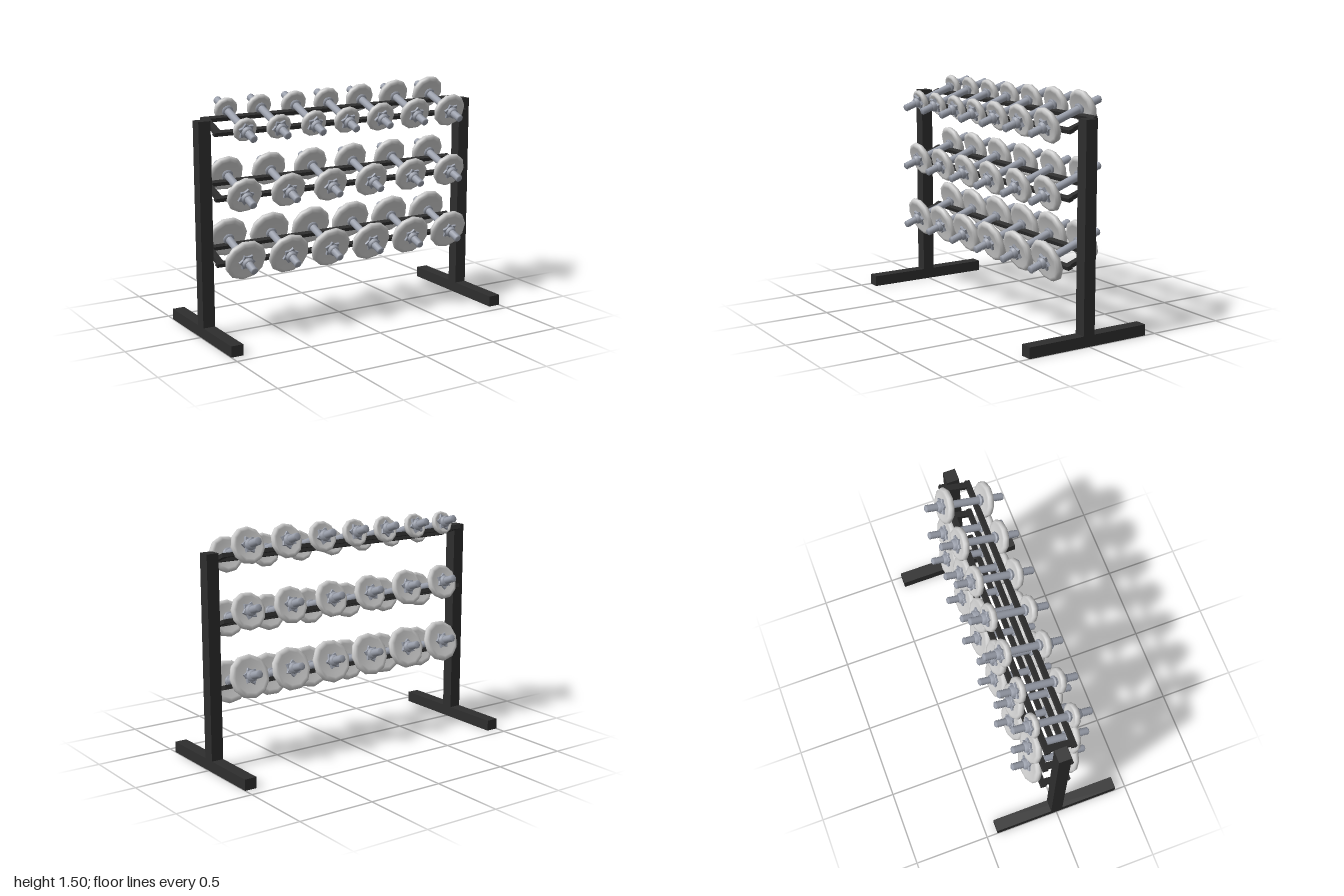
import * as THREE from 'three';

const frameMat = new THREE.MeshStandardMaterial({ color: 0x2e2e2e });
const steelMat = new THREE.MeshStandardMaterial({ color: 0x9a9fab });
const plateMat = new THREE.MeshStandardMaterial({ color: 0xcccccc });
const TILT = THREE.MathUtils.degToRad(19.6);

function add(parent, name, geo, mat, x = 0, y = 0, z = 0) {
  const mesh = new THREE.Mesh(geo, mat);
  mesh.name = name;
  mesh.position.set(x, y, z);
  parent.add(mesh);
  return mesh;
}

// Turned solid along z from [radius, z] pairs
function turned(pairs, sides) {
  const pts = pairs.map(([r, z]) => new THREE.Vector2(r, z));
  return new THREE.LatheGeometry(pts, sides).rotateX(Math.PI / 2);
}

// Weight plate: rounded rim, dished faces
function plateGeometry(r) {
  const h = 0.013 + r * 0.075;
  return turned([
    [0.02, -h * 0.55], [r * 0.6, -h * 0.6], [r * 0.78, -h], [r * 0.93, -h * 0.85],
    [r, -h * 0.3], [r, h * 0.3], [r * 0.93, h * 0.85], [r * 0.78, h],
    [r * 0.6, h * 0.6], [0.02, h * 0.55],
  ], 11);
}

// Threaded bar end
function threadGeometry() {
  const pairs = [];
  for (let i = 0; i < 9; i++) {
    const z = 0.16 + i * 0.0118;
    pairs.push([0.019, z], [0.025, z + 0.006]);
  }
  pairs.push([0.018, 0.268], [0, 0.268]);
  return turned(pairs, 10);
}

// Star-shaped lock nut
function starGeometry() {
  const shape = new THREE.Shape();
  for (let i = 0; i < 12; i++) {
    const r = i % 2 ? 0.037 : 0.053;
    const a = (i * Math.PI) / 6;
    if (i) shape.lineTo(r * Math.cos(a), r * Math.sin(a));
    else shape.moveTo(r, 0);
  }
  shape.closePath();
  return new THREE.ExtrudeGeometry(shape, {
    depth: 0.012, bevelEnabled: true, bevelSize: 0.002, bevelThickness: 0.002, bevelSegments: 1,
  });
}

const barGeo = new THREE.CylinderGeometry(0.024, 0.024, 0.34, 12).rotateX(Math.PI / 2);
const threadGeo = threadGeometry();
const starGeo = starGeometry();
const hubGeo = turned([[0.037, 0.165], [0.034, 0.182], [0.027, 0.19], [0.018, 0.19]], 12);
const collarGeo = turned([[0.02, 0.098], [0.036, 0.1], [0.036, 0.112], [0.02, 0.118]], 12);

function dumbbell(radius, roll) {
  const g = new THREE.Group();
  g.name = 'dumbbell';
  add(g, 'handle', barGeo, steelMat);
  const plateGeo = plateGeometry(radius);
  for (const turn of [0, Math.PI]) {
    const end = new THREE.Group();
    end.name = 'dumbbellEnd';
    end.rotation.y = turn;
    add(end, 'innerCollar', collarGeo, steelMat);
    add(end, 'weightPlate', plateGeo, plateMat, 0, 0, 0.136).rotation.z = roll;
    add(end, 'starNut', starGeo, steelMat, 0, 0, 0.153).rotation.z = roll + 0.5;
    add(end, 'nutHub', hubGeo, steelMat);
    add(end, 'threadedEnd', threadGeo, steelMat);
    g.add(end);
  }
  return g;
}

// Tilted shelf: two rails joined by end bars, with its dumbbells lying across
function shelf(y, xs, radii) {
  const g = new THREE.Group();
  g.name = 'shelf';
  g.position.set(0, y, 0.017);
  g.rotation.x = TILT;
  for (const s of [-1, 1]) {
    add(g, 'rail', new THREE.BoxGeometry(1.85, 0.025, 0.032), frameMat, 0, -0.037, s * 0.09);
    add(g, 'railEnd', new THREE.BoxGeometry(0.04, 0.025, 0.15), frameMat, s * 0.895, -0.037, 0);
  }
  xs.forEach((x, i) => {
    const d = dumbbell(radii[i], i * 0.37 + y);
    d.position.x = x;
    g.add(d);
  });
  return g;
}

export function createModel() {
  const model = new THREE.Group();
  model.name = 'dumbbellRack';

  // Uprights and feet
  for (const s of [-1, 1]) {
    add(model, 'post', new THREE.BoxGeometry(0.08, 1.285, 0.08), frameMat, s * 0.96, 0.7125, 0);
    add(model, 'foot', new THREE.BoxGeometry(0.08, 0.07, 0.85), frameMat, s * 0.96, 0.035, 0);
  }

  // Shelves, with heavier weights lower down
  model.add(shelf(1.35, [-0.745, -0.515, -0.27, -0.03, 0.22, 0.485, 0.76],
    [0.077, 0.082, 0.087, 0.09, 0.099, 0.108, 0.114]));
  const xs = [-0.755, -0.453, -0.15, 0.153, 0.46, 0.765];
  model.add(shelf(0.95, xs, [0.117, 0.117, 0.117, 0.117, 0.117, 0.117]));
  model.add(shelf(0.543, xs, [0.137, 0.137, 0.137, 0.137, 0.137, 0.137]));
  return model;
}
